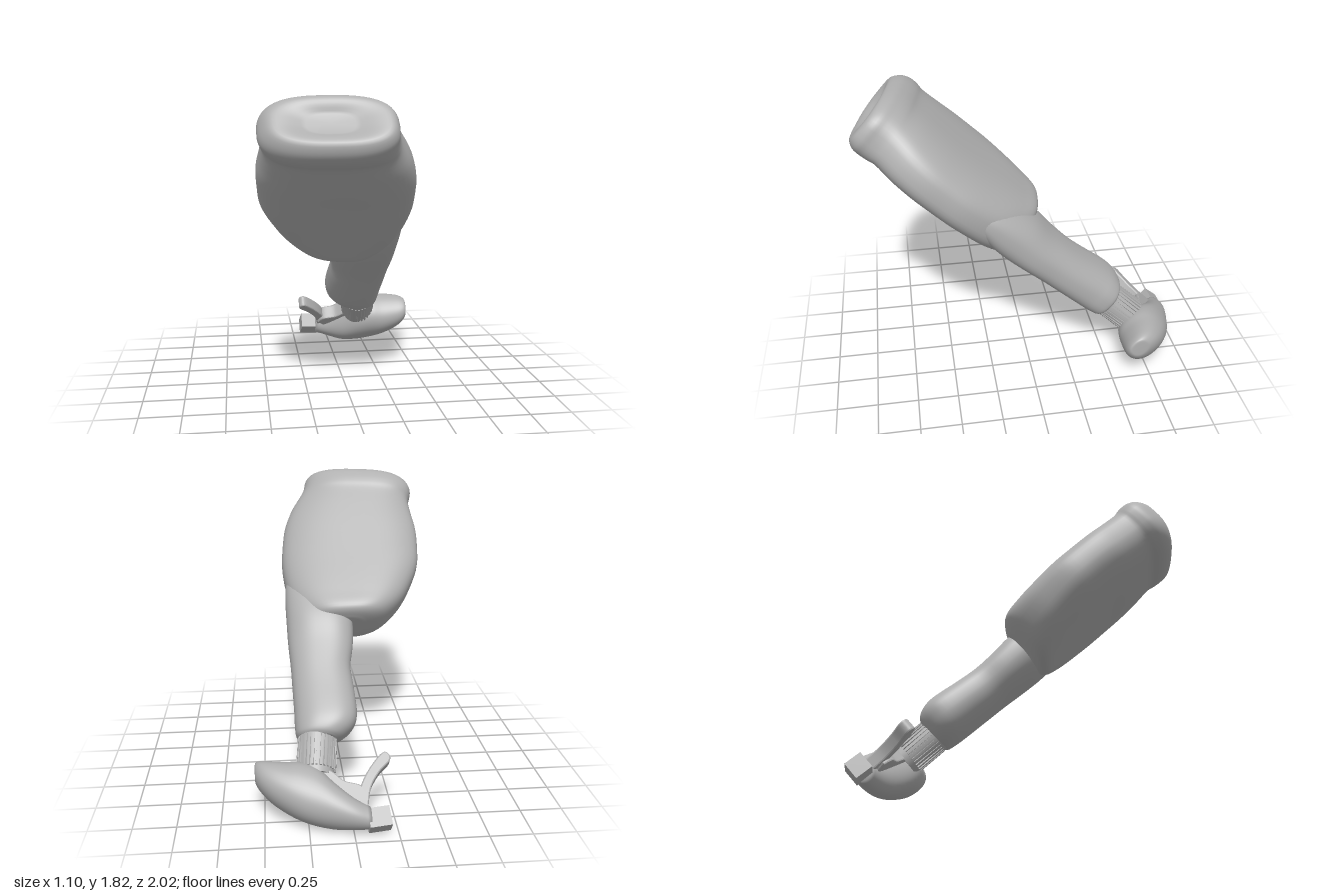
import * as THREE from 'three';

const grey = new THREE.MeshStandardMaterial({ color: 0xb0b0b0 });
grey.name = 'grey plastic';

// Superellipse coordinate: n = 2 is round, larger is boxier
const sq = (v, n) => Math.sign(v) * Math.pow(Math.abs(v), 2 / n);

// Smooth closed loft through rows of numbers; place(row, c, s) gives a point of the ring
function loft(rows, n, place, steps = 4, seg = 56) {
  const size = rows[0].length;
  const curve = new THREE.CubicInterpolant(rows.map((_, i) => i), rows.flat(), size, new Array(size));
  const rings = (rows.length - 1) * steps;
  const pos = [], idx = [];
  for (let i = 0; i <= rings; i++) {
    const row = Array.from(curve.evaluate(i / steps));
    for (let j = 0; j < seg; j++) {
      const t = (j / seg) * Math.PI * 2;
      pos.push(...place(row, sq(Math.cos(t), n), sq(Math.sin(t), n)));
    }
  }
  for (let i = 0; i < rings; i++) {
    for (let j = 0; j < seg; j++) {
      const k = (j + 1) % seg, a = i * seg, b = a + seg;
      idx.push(a + j, b + j, a + k, a + k, b + j, b + k);
    }
  }
  // End caps
  const first = pos.length / 3, end = rings * seg;
  pos.push(...place(rows[0], 0, 0), ...place(rows[rows.length - 1], 0, 0));
  for (let j = 0; j < seg; j++) {
    const k = (j + 1) % seg;
    idx.push(first, j, k, first + 1, end + k, end + j);
  }
  const g = new THREE.BufferGeometry();
  g.setAttribute('position', new THREE.Float32BufferAttribute(pos, 3));
  g.setIndex(idx);
  g.computeVertexNormals();
  return g;
}

// Row along the bottle: [height, left, right, near depth, far depth, slant], rolled a little
const ROLL = 0.12;
const upright = ([u, x0, x1, w0, w1, slant], c, s) => {
  const h = (x1 - x0) / 2;
  return [(x0 + x1) / 2 + h * c, u + slant * h * c, -(w0 + w1) / 2 + ((w1 - w0) / 2) * s + ROLL * h * c];
};
// Row across the spray head: [x, height, depth, half height, half depth]
const sideways = ([x, u, w, a, b], c, s) => [x, u + a * c, -w - b * s];

function plate(points, depth, w) {
  const shape = new THREE.Shape();
  shape.moveTo(...points[0]);
  shape.splineThru(points.slice(1).map(p => new THREE.Vector2(...p)));
  const g = new THREE.ExtrudeGeometry(shape, {
    depth: depth - 0.02, curveSegments: 24, bevelSize: 0.008, bevelThickness: 0.01, bevelSegments: 2,
  });
  return g.translate(0, 0, -w - depth / 2 + 0.01);
}

export function createModel() {
  const model = new THREE.Group();
  model.name = 'sprayBottle';
  const bottle = new THREE.Group();
  bottle.name = 'tiltedBottle';
  bottle.rotation.x = THREE.MathUtils.degToRad(48);
  model.add(bottle);
  const add = (name, geometry, parent = bottle) => {
    const m = new THREE.Mesh(geometry, grey);
    m.name = name;
    parent.add(m);
    return m;
  };

  // Flat rounded tank with a lipped, dished base
  add('tank', loft([
    [0.622, -0.14, 0.09, 0.575, 0.785, 0.06],
    [0.64, -0.23, 0.16, 0.51, 0.85, 0.06],
    [0.68, -0.305, 0.22, 0.485, 0.876, 0.06],
    [0.77, -0.39, 0.285, 0.484, 0.876, 0.07],
    [0.88, -0.455, 0.325, 0.487, 0.875, 0.08],
    [1.05, -0.525, 0.35, 0.491, 0.873, 0.1],
    [1.20, -0.545, 0.345, 0.493, 0.873, 0.11],
    [1.35, -0.55, 0.325, 0.493, 0.875, 0.12],
    [1.48, -0.535, 0.28, 0.494, 0.877, 0.14],
    [1.59, -0.525, 0.22, 0.497, 0.88, 0.15],
    [1.64, -0.54, 0.195, 0.482, 0.89, 0.15],
    [1.69, -0.55, 0.18, 0.475, 0.89, 0.15],
    [1.745, -0.53, 0.17, 0.482, 0.875, 0.15],
    [1.79, -0.485, 0.135, 0.515, 0.833, 0.15],
    [1.79, -0.41, 0.06, 0.56, 0.79, 0.15],
    [1.76, -0.30, -0.05, 0.61, 0.74, 0.15],
  ], 2.7, upright));

  // Neck that is gripped, running into the tank
  add('neck', loft([
    [-0.125, 0.08, 0.29, 0.57, 0.76, 0.14],
    [-0.105, 0.03, 0.305, 0.54, 0.788, 0.14],
    [-0.05, -0.03, 0.31, 0.528, 0.807, 0.14],
    [0.03, -0.06, 0.31, 0.523, 0.81, 0.12],
    [0.20, -0.055, 0.315, 0.523, 0.797, 0.12],
    [0.35, -0.045, 0.32, 0.523, 0.792, 0.12],
    [0.50, -0.07, 0.33, 0.518, 0.797, 0.12],
    [0.65, -0.08, 0.335, 0.515, 0.815, 0.12],
    [0.78, -0.07, 0.338, 0.528, 0.807, 0.12],
    [0.90, -0.03, 0.335, 0.56, 0.78, 0.12],
    [1.0, 0.0, 0.32, 0.60, 0.75, 0.12],
  ], 2.4, upright));

  // Ribbed screw collar
  const collar = new THREE.Group();
  collar.name = 'collar';
  collar.position.set(0.19, -0.22, -0.655);
  collar.rotation.z = 0.1;
  bottle.add(collar);
  add('collarRing', new THREE.CylinderGeometry(0.114, 0.104, 0.26, 48), collar);
  const ribs = 30;
  for (let i = 0; i < ribs; i++) {
    const t = (i / ribs) * Math.PI * 2;
    const rib = add('collarRib', new THREE.BoxGeometry(0.012, 0.19, 0.012), collar);
    rib.position.set(Math.sin(t) * 0.11, 0, Math.cos(t) * 0.11);
    rib.rotation.y = t;
  }

  // Teardrop spray head, from nozzle to rounded heel
  add('sprayHead', loft([
    [-0.09, -0.615, 0.69, 0.06, 0.068],
    [0.0, -0.585, 0.68, 0.085, 0.105],
    [0.10, -0.53, 0.66, 0.125, 0.14],
    [0.20, -0.465, 0.65, 0.165, 0.155],
    [0.29, -0.43, 0.647, 0.165, 0.155],
    [0.37, -0.405, 0.643, 0.143, 0.148],
    [0.45, -0.37, 0.64, 0.118, 0.13],
    [0.51, -0.335, 0.637, 0.09, 0.105],
    [0.545, -0.31, 0.635, 0.06, 0.07],
    [0.55, -0.305, 0.635, 0.03, 0.04],
  ], 2.2, sideways));

  // Square nozzle
  const nozzle = add('nozzle', new THREE.BoxGeometry(0.125, 0.11, 0.11));
  nozzle.position.set(-0.135, -0.624, -0.69);
  nozzle.rotation.z = -0.1;

  // Curved trigger and the web linking it to the collar
  add('trigger', plate([
    [-0.07, -0.56], [-0.095, -0.45], [-0.15, -0.36], [-0.215, -0.295], [-0.215, -0.26],
    [-0.185, -0.255], [-0.11, -0.34], [-0.055, -0.435], [-0.01, -0.56],
  ], 0.08, 0.69));
  add('triggerWeb', plate([
    [-0.07, -0.49], [-0.04, -0.44], [0.05, -0.41], [0.12, -0.35], [0.18, -0.34],
    [0.18, -0.45], [0.10, -0.54], [-0.02, -0.55],
  ], 0.1, 0.68));

  return model;
}
